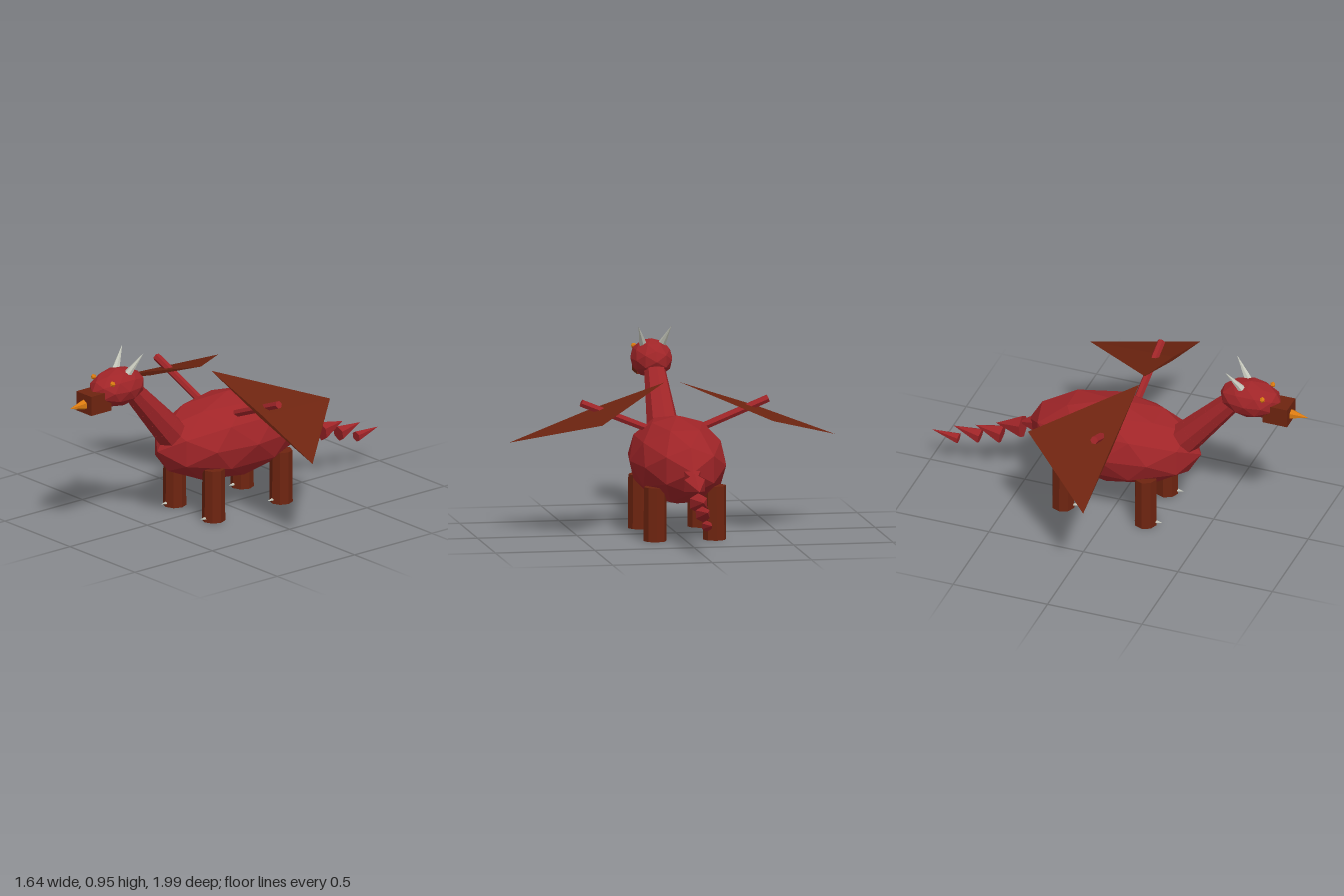
import * as THREE from 'three';

const paint = (name, color) => {
  const m = new THREE.MeshStandardMaterial({ color });
  m.name = name;
  return m;
};

export function createModel() {
  const red = paint('scale red', 0xa02528);
  const brown = paint('leather brown', 0x6e2410);
  const orange = paint('flame orange', 0xd97a10);
  const bone = paint('pale bone', 0xc4c6ba);
  const model = new THREE.Group();
  model.name = 'dragon';

  // Faceted mesh helper: every face gets its own normal
  const add = (name, geometry, material, parent = model) => {
    const g = geometry.index ? geometry.toNonIndexed() : geometry;
    g.computeVertexNormals();
    const mesh = new THREE.Mesh(g, material);
    mesh.name = name;
    parent.add(mesh);
    return mesh;
  };
  // Ellipsoid with triangular facets
  const blob = (name, radii, pos, material, detail = 1) => {
    const g = new THREE.IcosahedronGeometry(1, detail).scale(...radii);
    return add(name, g.translate(...pos), material);
  };
  // Tapered rod between two points; r2 = 0 makes a cone
  const rod = (name, from, to, r1, r2, sides, material) => {
    const a = new THREE.Vector3(...from), b = new THREE.Vector3(...to);
    const dir = b.clone().sub(a), len = dir.length();
    const g = r2 ? new THREE.CylinderGeometry(r2, r1, len, sides) : new THREE.ConeGeometry(r1, len, sides);
    const mesh = add(name, g, material);
    mesh.position.copy(a).add(b).multiplyScalar(0.5);
    mesh.quaternion.setFromUnitVectors(new THREE.Vector3(0, 1, 0), dir.normalize());
    return mesh;
  };

  // Body and head
  blob('body', [0.24, 0.22, 0.455], [0, 0.37, -0.02], red);
  blob('head', [0.105, 0.098, 0.16], [0, 0.772, 0.697], red);
  const snout = add('snout', new THREE.BoxGeometry(0.115, 0.1, 0.13), brown);
  snout.position.set(0, 0.73, 0.845);
  rod('flame', [0, 0.725, 0.87], [0, 0.722, 1], 0.038, 0, 6, orange);

  // Neck: overlapping segments that get thinner upwards
  for (let i = 0; i < 5; i++) {
    const z = 0.335 + i * 0.054, y = 0.435 + i * 0.06, r = 0.085 - i * 0.0065;
    rod('neckSegment', [0, y, z], [0, y + 0.07, z + 0.063], r, r - 0.007, 8, red);
  }

  // Tail: a row of cones, each starting near the tip of the last
  const tail = [
    [-0.39, 0.36, 0.075, 0.335], [-0.51, 0.312, 0.06, 0.3], [-0.62, 0.24, 0.05, 0.262],
    [-0.735, 0.202, 0.04, 0.23], [-0.85, 0.16, 0.028, 0.181],
  ];
  for (const [z, y, r, tipY] of tail) {
    rod('tailSpike', [0, y, z], [0, tipY, z - 0.142], r, 0, 6, red);
  }

  for (const s of [1, -1]) {
    // Horns and eyes
    rod('horn', [s * 0.047, 0.845, 0.665], [s * 0.083, 0.947, 0.592], 0.02, 0, 6, bone);
    blob('eye', [0.015, 0.015, 0.015], [s * 0.073, 0.823, 0.785], orange, 0);

    // Legs with a small claw
    for (const z of [0.197, -0.239]) {
      rod('leg', [s * 0.15, 0, z], [s * 0.15, 0.27, z], 0.058, 0.056, 8, brown);
      rod('claw', [s * 0.15, 0.02, z + 0.045], [s * 0.15, 0.02, z + 0.088], 0.011, 0, 5, bone);
    }

    // Wing arm and flattened triangular membrane
    rod('wingArm', [s * 0.1, 0.505, 0.045], [s * 0.47, 0.655, 0.045], 0.02, 0.02, 6, red);
    const membrane = add('wingMembrane',
      new THREE.ConeGeometry(0.414, 0.44, 4).scale(1, 1, 0.024).rotateX(-Math.PI / 2), brown);
    membrane.position.set(s * 0.43, 0.595, -0.1);
    membrane.rotation.z = -s * 0.345;
  }
  return model;
}
